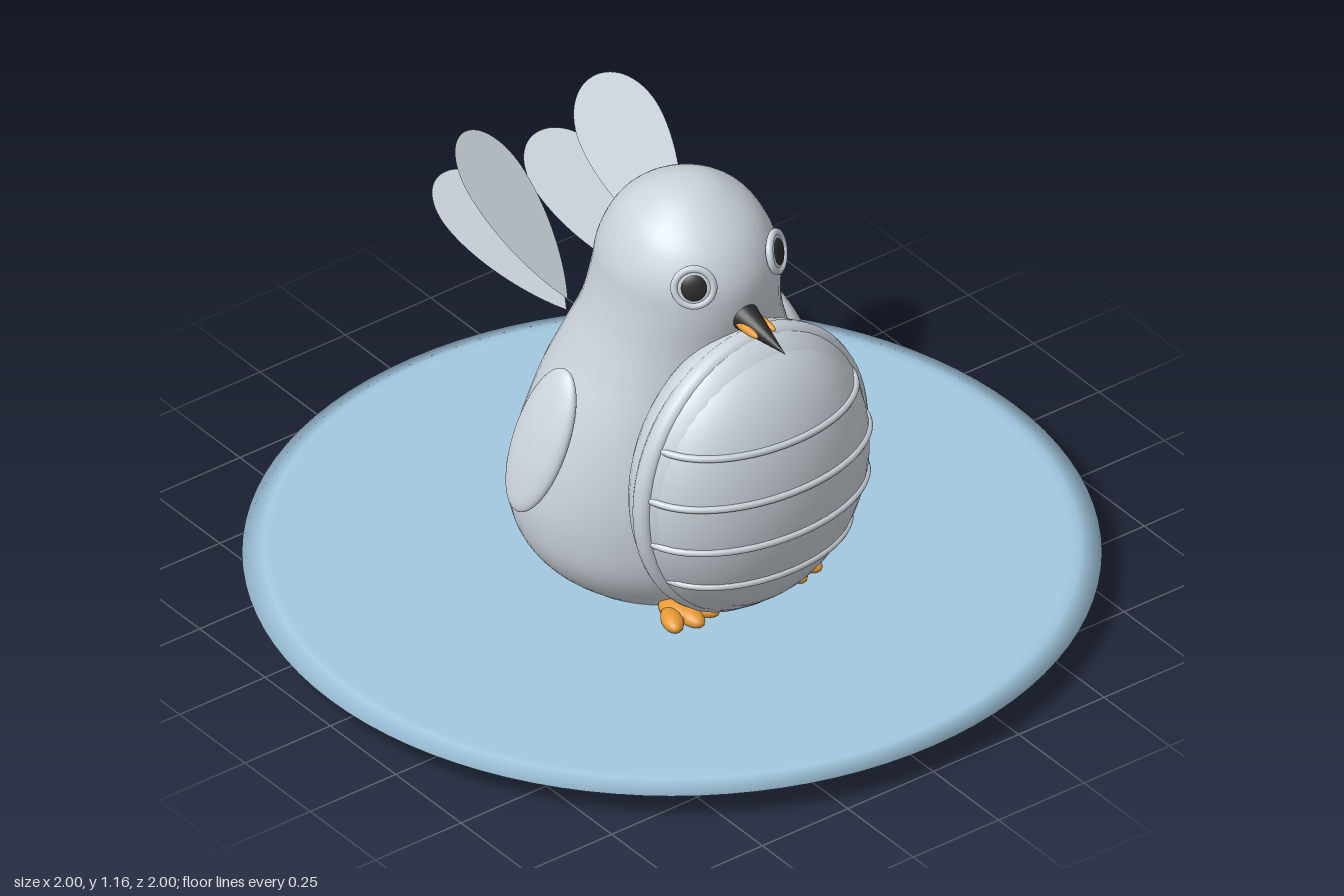
import * as THREE from 'three';
import { mergeVertices } from 'three/addons/utils/BufferGeometryUtils.js';

const material = (name, color) => {
  const m = new THREE.MeshStandardMaterial({ color });
  m.name = name;
  return m;
};

export function createModel() {
  const model = new THREE.Group();
  const grey = material('pale grey', 0xcbd3db);
  const blue = material('ice blue', 0xa3c8e0);
  const black = material('black', 0x2b2b2b);
  const orange = material('orange', 0xe89a35);
  const feather = material('feather grey', 0xcbd3db);
  feather.side = THREE.DoubleSide;

  const add = (name, geometry, mat, x = 0, y = 0, z = 0, parent = model) => {
    const mesh = new THREE.Mesh(geometry, mat);
    mesh.name = name;
    mesh.position.set(x, y, z);
    parent.add(mesh);
    return mesh;
  };
  const ellipsoid = (rx, ry, rz, seg = 32) =>
    new THREE.SphereGeometry(1, seg, Math.round(seg * 0.6)).scale(rx, ry, rz);

  // Ice disc with a bevelled edge
  const discProfile = [[0, 0.058], [0.93, 0.058], [0.95, 0.059], [1, 0.072], [0.95, 0.087], [0.93, 0.088], [0, 0.088]];
  add('iceDisc', new THREE.LatheGeometry(discProfile.map(p => new THREE.Vector2(...p)), 96), blue);

  // Body and head: oval sections given as y, half width, front z, back z
  const sections = [
    [0, 0, 0, 0], [0.01, 0.1, 0.1, -0.11], [0.03, 0.16, 0.15, -0.17], [0.06, 0.22, 0.21, -0.24],
    [0.12, 0.305, 0.25, -0.305], [0.2, 0.36, 0.28, -0.35], [0.3, 0.38, 0.29, -0.37],
    [0.4, 0.372, 0.29, -0.345], [0.5, 0.35, 0.28, -0.315], [0.6, 0.316, 0.27, -0.285],
    [0.7, 0.272, 0.265, -0.245], [0.8, 0.235, 0.27, -0.203], [0.9, 0.214, 0.285, -0.182],
    [0.98, 0.205, 0.283, -0.165], [1.05, 0.178, 0.252, -0.132], [1.1, 0.142, 0.205, -0.088],
    [1.14, 0.085, 0.145, -0.025], [1.156, 0.04, 0.1, 0.02], [1.16, 0, 0.06, 0.06],
  ];
  const spline = column => new THREE.CatmullRomCurve3(
    sections.map(s => new THREE.Vector3(s[0], s[1], s[column])), false, 'catmullrom');
  const front = spline(2), back = spline(3);
  let body = new THREE.CylinderGeometry(1, 1, 1, 56, 72, true);
  const pos = body.attributes.position;
  for (let i = 0; i < pos.count; i++) {
    const t = THREE.MathUtils.clamp(pos.getY(i) + 0.5, 0, 1);
    const f = front.getPoint(t), b = back.getPoint(t);
    pos.setXYZ(i, pos.getX(i) * f.y, f.x, (f.z + b.z) / 2 + pos.getZ(i) * (f.z - b.z) / 2);
  }
  body.deleteAttribute('uv');
  body.deleteAttribute('normal');
  body = mergeVertices(body, 1e-5);
  body.computeVertexNormals();
  add('body', body, grey);

  // Belly shell: domed front, backing and rim
  const by = 0.48, bz = 0.3, rx = 0.315, ry = 0.36, rz = 0.2;
  add('bellyDome', ellipsoid(rx, ry, rz, 48), grey, 0, by, bz);
  add('bellyBacking', ellipsoid(0.325, 0.38, 0.17, 48), grey, 0, by, bz - 0.01);
  const rim = new THREE.TorusGeometry(1, 0.07, 12, 72).scale(0.315, 0.36, 0.4);
  add('bellyRim', rim, grey, 0, by, bz);

  // Raised bands across the dome
  for (const y of [0.65, 0.525, 0.4, 0.28]) {
    const k = Math.sqrt(1 - ((y - by) / ry) ** 2);
    const points = [];
    for (let i = 0; i <= 24; i++) {
      const a = Math.PI * i / 24;
      points.push(new THREE.Vector3(rx * k * Math.cos(a), y, bz + rz * k * Math.sin(a)));
    }
    add('bellyBand', new THREE.TubeGeometry(new THREE.CatmullRomCurve3(points), 48, 0.009, 8), grey);
  }

  // Beak with an orange patch on each side
  add('beak', new THREE.ConeGeometry(0.037, 0.165, 24).rotateX(Math.PI / 2 + 0.15), black, 0, 0.88, 0.353);

  // Tail stub
  const tail = add('tail', ellipsoid(0.08, 0.055, 0.13), grey, 0, 0.205, -0.32);
  tail.rotation.x = -0.05;

  // Teardrop feather outline, one unit long
  const plume = width => {
    const s = new THREE.Shape();
    const h = width / 2;
    s.moveTo(0, 0);
    s.bezierCurveTo(h * 0.5, 0.15, h, 0.42, h, 0.68);
    s.bezierCurveTo(h, 0.87, h * 0.55, 1, 0, 1);
    s.bezierCurveTo(-h * 0.55, 1, -h, 0.87, -h, 0.68);
    s.bezierCurveTo(-h, 0.42, -h * 0.5, 0.15, 0, 0);
    return new THREE.ShapeGeometry(s, 16);
  };
  const addFeather = (name, base, tip, width, roll) => {
    const d = tip.clone().sub(base);
    const length = d.length();
    d.normalize();
    const n = new THREE.Vector3(roll, 0.72, 0.69);
    n.addScaledVector(d, -n.dot(d)).normalize();
    const mesh = add(name, plume(width / length).scale(length, length, 1), feather, base.x, base.y, base.z);
    mesh.quaternion.setFromRotationMatrix(
      new THREE.Matrix4().makeBasis(d.clone().cross(n), d, n));
  };

  for (const s of [1, -1]) {
    const side = s > 0 ? 'left' : 'right';

    // Flippers
    const wing = add(side + 'Flipper', ellipsoid(0.03, 0.188, 0.086), grey, s * 0.362, 0.525, -0.028);
    wing.rotation.set(0.06, 0, s * 0.37);

    // Eyes
    const eye = new THREE.Group();
    eye.name = side + 'Eye';
    eye.position.set(s * 0.121, 1.003, 0.242);
    eye.lookAt(s * 0.121 + s * 0.57, 1.003 + 0.24, 0.242 + 0.78);
    model.add(eye);
    add('eyeRing', new THREE.TorusGeometry(0.046, 0.009, 10, 32), grey, 0, 0, 0, eye);
    add('eyeWhite', ellipsoid(0.045, 0.045, 0.008), grey, 0, 0, 0, eye);
    add('pupil', ellipsoid(0.034, 0.036, 0.014), black, 0, 0, 0, eye);

    // Beak patches
    add(side + 'BeakPatch', ellipsoid(0.01, 0.011, 0.045, 16), orange, s * 0.025, 0.886, 0.318);

    // Feet: three toes and a heel
    const foot = new THREE.Group();
    foot.name = side + 'Foot';
    foot.position.set(s * 0.15, 0.1, 0.235);
    model.add(foot);
    add('heel', ellipsoid(0.045, 0.025, 0.06, 20), orange, 0, 0, -0.01, foot);
    for (const i of [-1, 0, 1]) {
      const toe = add('toe', ellipsoid(0.026, 0.021, 0.048, 20), orange, i * 0.043, 0, i ? 0.018 : 0.03, foot);
      toe.rotation.y = i * 0.4;
    }

    // Back feathers, an upper and a lower pair
    const v = (x, y, z) => new THREE.Vector3(s * x, y, z);
    addFeather(side + 'UpperFeather', v(0.16, 0.75, -0.19), v(0.192, 1.045, -0.54), 0.21, -s * 0.32);
    addFeather(side + 'LowerFeather', v(0.11, 0.66, -0.26), v(0.142, 0.83, -0.685), 0.208, -s * 0.08);
  }
  return model;
}
